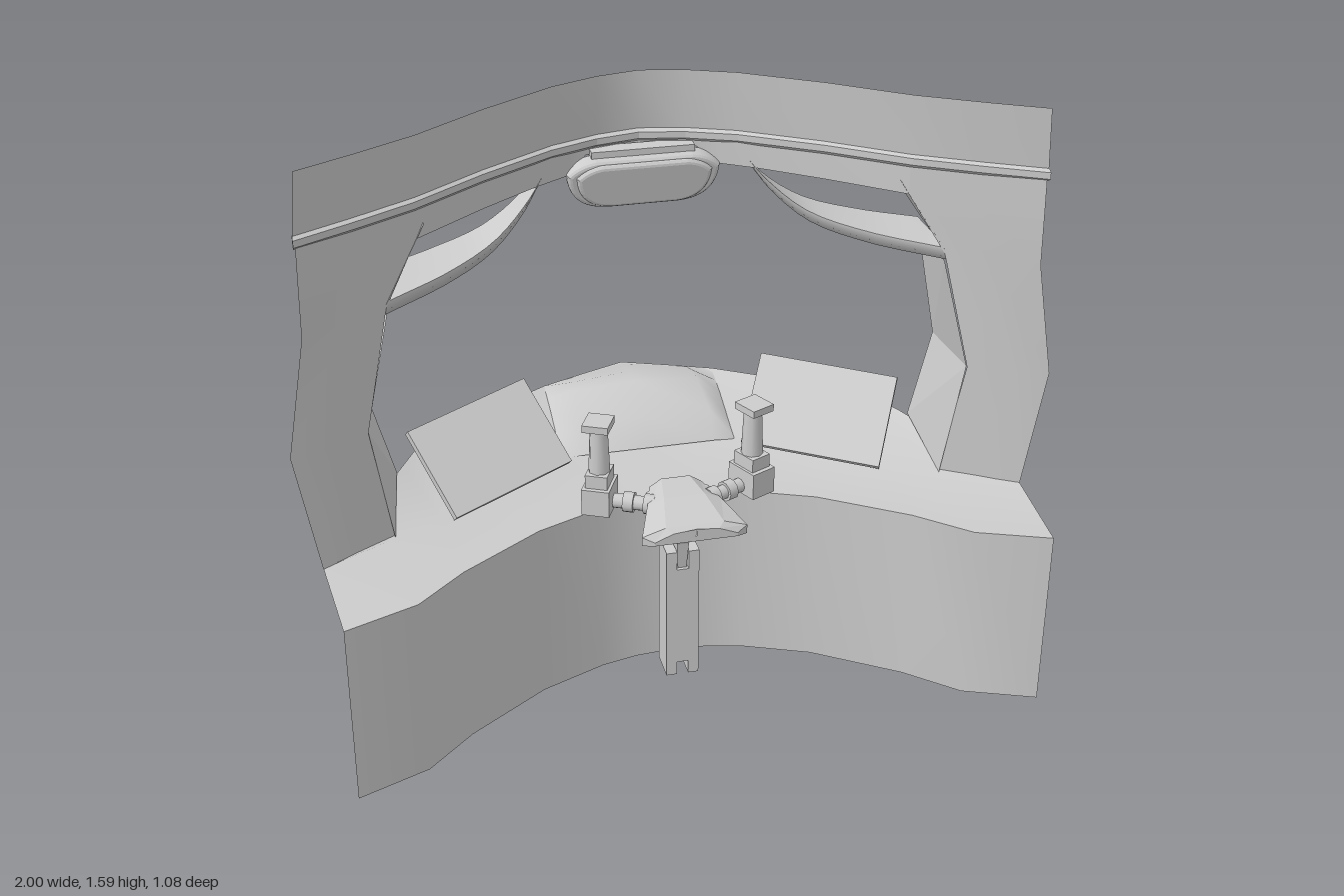
import * as THREE from 'three';
import { RoundedBoxGeometry } from 'three/addons/geometries/RoundedBoxGeometry.js';

const mat = new THREE.MeshStandardMaterial({ color: 0xcccccc, side: THREE.DoubleSide });
const flatMat = new THREE.MeshStandardMaterial({ color: 0xcccccc, side: THREE.DoubleSide, flatShading: true });

// Skin between rows of [x, y, z] points
function loft(name, rows, material = mat) {
  const n = rows[0].length, index = [];
  for (let r = 0; r < rows.length - 1; r++)
    for (let i = 0; i < n - 1; i++) {
      const a = r * n + i, b = a + n;
      index.push(a, a + 1, b, a + 1, b + 1, b);
    }
  const g = new THREE.BufferGeometry();
  g.setAttribute('position', new THREE.Float32BufferAttribute(rows.flat(2), 3));
  g.setIndex(index);
  g.computeVertexNormals();
  return named(name, new THREE.Mesh(g, material));
}

function named(name, obj) {
  obj.name = name;
  return obj;
}

function box(name, w, h, d, x, y, z) {
  const m = new THREE.Mesh(new THREE.BoxGeometry(w, h, d), mat);
  m.position.set(x, y, z);
  return named(name, m);
}

// Half row (centre outwards, +x) to a full row
const both = half => [...half.slice(1).reverse().map(([x, y, z]) => [-x, y, z]), ...half];

// Plan curve of the front wall
const plan = [[0, -0.29], [0.12, -0.265], [0.25, -0.21], [0.45, -0.08], [0.64, 0.065], [0.8, 0.16], [0.945, 0.24], [1, 0.25]];
function wallZ(x) {
  let i = 1;
  while (i < plan.length - 1 && plan[i][0] < x) i++;
  const [x0, z0] = plan[i - 1], [x1, z1] = plan[i];
  return z0 + (z1 - z0) * (x - x0) / (x1 - x0);
}
const onWall = (x, y) => [x, y, wallZ(x)];

// Everything that repeats on each side, built for +x
function buildSide() {
  const side = new THREE.Group();

  // Bent pillar and the reveal behind its inner edge
  const pillar = [[0.51, 0.75, 0.945], [0.84, 0.8, 1], [1.16, 0.73, 0.945], [1.315, 0.64, 0.942], [1.4, 0.64, 0.94]];
  side.add(loft('pillar', pillar.map(([y, a, b]) => [0, 0.5, 1].map(t => {
    const p = onWall(a + (b - a) * t, y);
    if (t === 1) p[2] = 0.245;
    return p;
  }))));
  side.add(loft('pillarReveal', [
    [[0.75, 0.51, 0.14], [0.8, 0.84, 0.155], [0.73, 1.14, 0.12]],
    [[0.72, 0.6, -0.05], [0.785, 0.84, -0.065], [0.725, 1.175, -0.08]],
  ], flatMat));

  // Plate running back from the upper window corner
  side.add(loft('windowCornerPlate', [
    [[0.73, 1.17, 0.12], [0.64, 1.315, 0.07], [0.62, 1.35, 0.06]],
    [[0.73, 1.19, -0.08], [0.63, 1.35, -0.155], [0.61, 1.39, -0.175]],
  ], flatMat));

  // Swept strut under the upper window: front edge, back edge
  const front = new THREE.CatmullRomCurve3([[0.735, 1.16, 0.12], [0.55, 1.178, 0], [0.42, 1.21, -0.1], [0.33, 1.28, -0.16], [0.285, 1.335, -0.19]].map(p => new THREE.Vector3(...p)));
  const back = new THREE.CatmullRomCurve3([[0.725, 1.18, -0.08], [0.58, 1.185, -0.16], [0.44, 1.215, -0.21], [0.34, 1.275, -0.24], [0.29, 1.33, -0.255]].map(p => new THREE.Vector3(...p)));
  const strut = [];
  for (let i = 0; i <= 14; i++) {
    const f = front.getPoint(i / 14), b = back.getPoint(i / 14);
    const d = 0.008 * i / 14;
    strut.push([
      [f.x - d, f.y + 0.016, f.z], [f.x + d, f.y - 0.016, f.z],
      [b.x + d, b.y - 0.006, b.z], [b.x, b.y + 0.006, b.z], [f.x - d, f.y + 0.016, f.z],
    ]);
  }
  side.add(loft('windowStrut', strut));

  // Tilted display with raised rim
  const display = named('display', new THREE.Group());
  const u = new THREE.Vector3(0.35, 0.028, -0.185).normalize();
  u.x *= -1;
  const v = new THREE.Vector3(0.1, 0.193, -0.168);
  v.addScaledVector(u, -v.dot(u)).normalize();
  const n = u.clone().cross(v);
  display.matrixAutoUpdate = true;
  display.quaternion.setFromRotationMatrix(new THREE.Matrix4().makeBasis(u, v, n));
  display.position.set(0.464, 0.634, -0.065);
  const W = 0.39, H = 0.265;
  display.add(box('displayPanel', W, H, 0.012, 0, 0, 0));
  for (const s of [-1, 1]) {
    display.add(box('displayRim', W, 0.014, 0.016, 0, s * (H / 2 - 0.007), 0.006));
    display.add(box('displayRim', 0.014, H, 0.016, s * (W / 2 - 0.007), 0, 0.006));
  }
  side.add(display);

  // Control stick on a ribbed arm
  const stick = named('controlStick', new THREE.Group());
  stick.add(box('stickBase', 0.075, 0.075, 0.1, 0, 0.575, 0));
  stick.add(box('stickCollar', 0.06, 0.04, 0.075, 0, 0.63, 0));
  const grip = new THREE.Mesh(new THREE.CylinderGeometry(0.024, 0.03, 0.14, 8), mat);
  grip.position.y = 0.71;
  stick.add(named('grip', grip));
  stick.add(box('gripCap', 0.07, 0.02, 0.075, 0, 0.79, 0.005));
  stick.position.set(0.208, 0, 0.15);
  stick.rotation.y = 0.45;
  side.add(stick);
  const arm = named('stickArm', new THREE.Group());
  for (let i = 0; i < 4; i++) {
    const rib = new THREE.Mesh(new THREE.CylinderGeometry(i % 2 ? 0.02 : 0.028, i % 2 ? 0.02 : 0.028, 0.028, 10), mat);
    rib.rotation.z = Math.PI / 2;
    rib.position.x = -0.045 + i * 0.028;
    arm.add(named('armRib', rib));
  }
  arm.position.set(0.125, 0.56, 0.185);
  arm.rotation.y = 0.45;
  side.add(arm);
  return side;
}

export function createModel() {
  const model = new THREE.Group();

  // Curved skirt and dished console deck
  const edge = [[0, 0.085], [0.1, 0.092], [0.2, 0.115], [0.38, 0.19], [0.6, 0.34], [0.73, 0.46], [0.92, 0.535]];
  const edgeRow = y => both(edge.map(([x, z]) => [x, y, z]));
  model.add(loft('skirt', [edgeRow(0), edgeRow(0.51)]));
  const mid = [[0, 0.51, -0.2], [0.13, 0.51, -0.19], [0.25, 0.51, -0.16], [0.45, 0.51, -0.03], [0.62, 0.51, 0.07], [0.75, 0.51, 0.14], [0.945, 0.51, 0.24]];
  const rim = [[0, 0.605, -0.54], [0.13, 0.605, -0.49], [0.25, 0.605, -0.44], [0.45, 0.603, -0.32], [0.635, 0.6, -0.2], [0.7, 0.6, -0.08], [0.945, 0.512, 0.242]];
  model.add(loft('consoleDeck', [edgeRow(0.51), both(mid), both(rim)]));

  // Raised hood in the middle of the deck
  model.add(loft('consoleHood', [
    both([[0, 0.515, -0.17], [0.19, 0.515, -0.17], [0.25, 0.512, -0.17]]),
    both([[0, 0.585, -0.23], [0.19, 0.585, -0.23], [0.25, 0.54, -0.25]]),
    both([[0, 0.638, -0.35], [0.18, 0.632, -0.34], [0.25, 0.575, -0.34]]),
    both([[0, 0.634, -0.42], [0.18, 0.628, -0.4], [0.25, 0.59, -0.39]]),
    both([[0, 0.605, -0.53], [0.18, 0.606, -0.465], [0.25, 0.604, -0.44]]),
  ]));

  // Header with a notch over the pod, upper fascia and the trim between them
  const header = [[0, 1.375], [0.15, 1.375], [0.2, 1.33], [0.3, 1.326], [0.45, 1.32], [0.64, 1.315]];
  model.add(loft('header', [both(header.map(([x, y]) => onWall(x, y))), both(header.map(([x]) => onWall(x, 1.4)))]));
  const run = plan.slice(0, -1).map(p => p[0]);
  const wallRow = (y, dz, s = 1) => both(run.map(x => [x * s, y, wallZ(x) + dz]));
  model.add(loft('fascia', [wallRow(1.41, 0), wallRow(1.59, 0.015, 0.985)]));
  model.add(loft('trim', [wallRow(1.39, 0), wallRow(1.4, 0.014), wallRow(1.418, 0.014), wallRow(1.426, 0),
    wallRow(1.418, -0.02), wallRow(1.4, -0.02), wallRow(1.39, 0)], flatMat));

  // Overhead pod with inset face and mount
  const podShape = s => {
    const p = new THREE.Shape();
    p.moveTo(-0.195 * s, 0.03 * s);
    p.quadraticCurveTo(-0.19 * s, -0.055 * s, -0.1 * s, -0.06 * s);
    p.lineTo(0.1 * s, -0.06 * s);
    p.quadraticCurveTo(0.19 * s, -0.055 * s, 0.195 * s, 0.03 * s);
    p.quadraticCurveTo(0.17 * s, 0.055 * s, 0.13 * s, 0.06 * s);
    p.lineTo(-0.13 * s, 0.06 * s);
    p.quadraticCurveTo(-0.17 * s, 0.055 * s, -0.195 * s, 0.03 * s);
    return p;
  };
  const pod = named('overheadPod', new THREE.Group());
  const bevel = { bevelEnabled: true, bevelSize: 0.012, bevelThickness: 0.015, bevelSegments: 3, curveSegments: 10 };
  pod.add(named('podShell', new THREE.Mesh(new THREE.ExtrudeGeometry(podShape(1), { depth: 0.025, ...bevel }), mat)));
  const face = new THREE.Mesh(new THREE.ExtrudeGeometry(podShape(0.88), { depth: 0.028, ...bevel }), mat);
  face.position.z = 0.008;
  pod.add(named('podFace', face));
  pod.position.set(0, 1.305, -0.255);
  pod.rotation.x = 0.2;
  model.add(pod, box('podMount', 0.28, 0.03, 0.05, 0, 1.375, -0.25));

  // Pedestal bar, notched at both ends
  const bar = new THREE.Shape([[-0.045, 0.02], [-0.016, 0.02], [-0.016, 0.06], [0.016, 0.06], [0.016, 0.02], [0.045, 0.02],
    [0.045, 0.415], [0.016, 0.415], [0.016, 0.36], [-0.016, 0.36], [-0.016, 0.415], [-0.045, 0.415]].map(p => new THREE.Vector2(...p)));
  const barMesh = new THREE.Mesh(new THREE.ExtrudeGeometry(bar, { depth: 0.09, bevelEnabled: false }), mat);
  barMesh.position.z = 0.14;
  model.add(named('pedestalBar', barMesh));

  // Tapered neck and fan-shaped control head
  const ring = (w, y, z0, z1) => [[-w, y, z0], [w, y, z0], [w, y, z1], [-w, y, z1], [-w, y, z0]];
  model.add(loft('pedestalNeck', [ring(0.012, 0.36, 0.16, 0.22), ring(0.016, 0.44, 0.16, 0.23), ring(0.035, 0.535, 0.16, 0.27)], flatMat));
  const section = (w, z, lo, hi) => [[-w, lo, z], [-w, hi - 0.02, z], [-w * 0.55, hi, z], [w * 0.55, hi, z], [w, hi - 0.02, z], [w, lo, z], [-w, lo, z]];
  model.add(loft('controlHead', [section(0.03, 0.13, 0.55, 0.58), section(0.07, 0.14, 0.535, 0.595), section(0.1, 0.24, 0.53, 0.595),
    section(0.14, 0.355, 0.53, 0.575), section(0.11, 0.372, 0.535, 0.565), section(0.001, 0.372, 0.55, 0.571)], flatMat));
  const hub = new THREE.Mesh(new RoundedBoxGeometry(0.18, 0.045, 0.07, 2, 0.015), mat);
  hub.position.set(0, 0.555, 0.19);
  model.add(named('headHub', hub));

  // Mirrored side assemblies
  const left = named('leftSide', buildSide());
  const right = named('rightSide', buildSide());
  right.scale.x = -1;
  model.add(left, right);
  return model;
}
